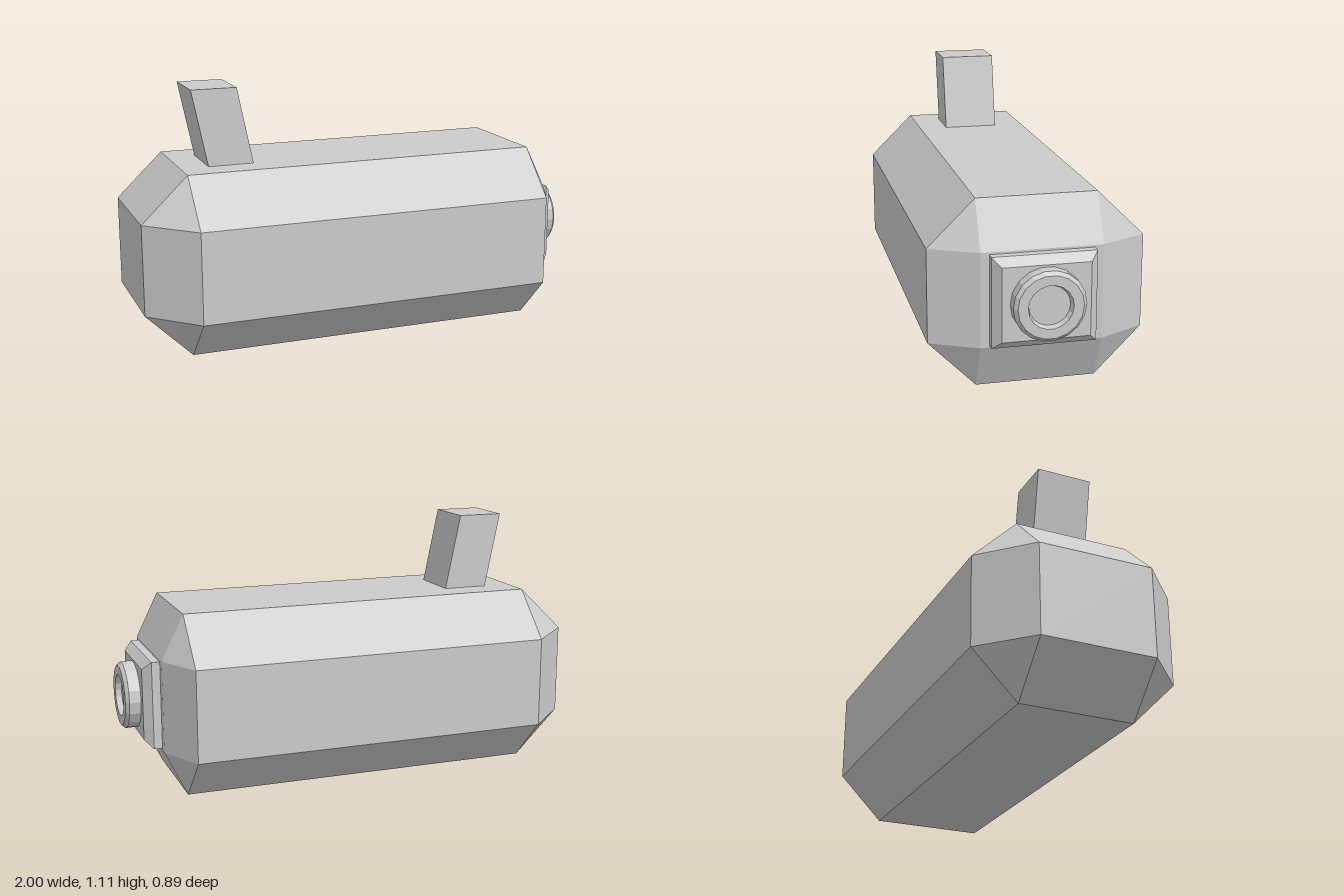
import * as THREE from 'three';
import { ConvexGeometry } from 'three/addons/geometries/ConvexGeometry.js';

const material = new THREE.MeshStandardMaterial({ color: 0xcccccc, flatShading: true });

function part(name, geometry) {
  const mesh = new THREE.Mesh(geometry, material);
  mesh.name = name;
  return mesh;
}

// Four corners of a rectangle in the plane at x, with half depth z
const rect = (x, y0, y1, z) =>
  [y0, y1].flatMap(y => [-z, z].map(s => new THREE.Vector3(x, y, s)));

// Octagonal outline at x
const octagon = x => [...rect(x, 0, 0.783, 0.248), ...rect(x, 0.197, 0.59, 0.443)];

export function createModel() {
  const model = new THREE.Group();
  model.name = 'cameraDevice';

  // Octagonal body, tapering to a rectangle at each end
  model.add(part('body', new ConvexGeometry([
    ...rect(-1, 0.197, 0.59, 0.248),
    ...octagon(-0.8),
    ...octagon(0.77),
    ...rect(0.866, 0.197, 0.59, 0.248),
  ])));

  // Bevelled mounting plate on the +x end
  model.add(part('mountPlate', new ConvexGeometry([
    ...rect(0.866, 0.206, 0.581, 0.213),
    ...rect(0.901, 0.206, 0.581, 0.213),
    ...rect(0.936, 0.241, 0.547, 0.179),
  ])));

  // Lens ring with chamfered rim and shallow recessed disc
  const profile = [
    [0.147, 0.936], [0.147, 0.985], [0.132, 1.0], [0.091, 1.0], [0.083, 0.975], [0, 0.975],
  ].map(([r, h]) => new THREE.Vector2(r, h));
  const lens = new THREE.LatheGeometry(profile, 18).rotateZ(-Math.PI / 2).toNonIndexed();
  lens.scale(1, 0.98, 1).translate(0, 0.396, 0);
  lens.computeVertexNormals();
  model.add(part('lens', lens));

  // Block on top, leaning toward -x
  const post = new THREE.BoxGeometry(0.198, 0.33, 0.242).translate(0, 0.165, 0);
  post.applyMatrix4(new THREE.Matrix4().makeShear(0, 0, -0.205, 0, 0, 0));
  post.translate(-0.58, 0.783, 0.003);
  const position = post.attributes.position;
  if (position.getX(0) > -0.5) post.computeVertexNormals();
  model.add(part('topPost', post));

  return model;
}
